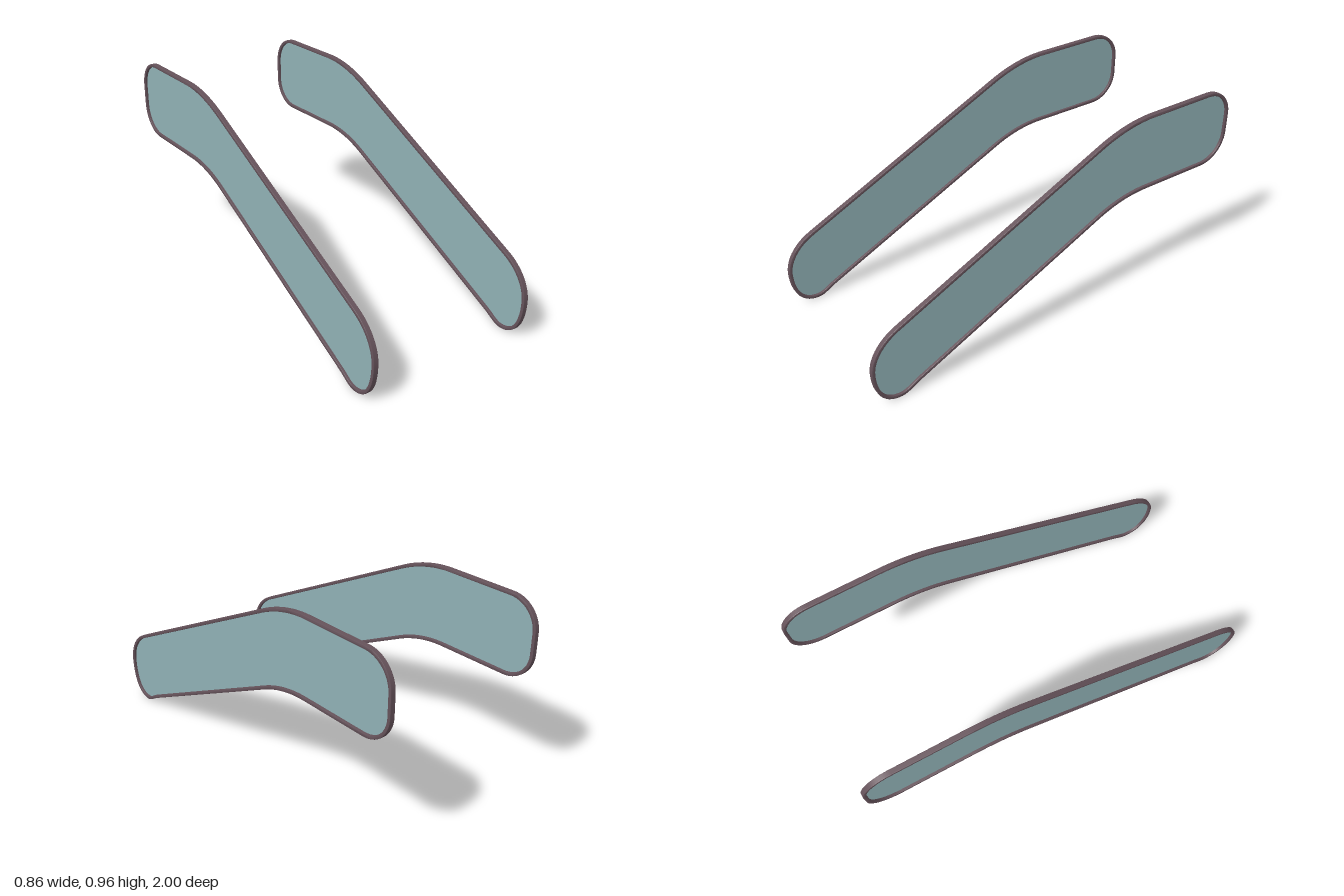
import * as THREE from 'three';
import { toCreasedNormals } from 'three/addons/utils/BufferGeometryUtils.js';

const PANEL_X = 0.415, TRIM_DEPTH = 0.025, TRIM_WIDTH = 0.016, BEVEL = 0.003;

// Side outline, drawn with u = -z and v = y, counter-clockwise
function outlinePoints() {
  const s = new THREE.Shape();
  s.moveTo(-0.765, 0.046);
  s.lineTo(0.2, 0.502);
  s.quadraticCurveTo(0.34, 0.57, 0.49, 0.57);
  s.lineTo(0.85, 0.57);
  s.bezierCurveTo(0.94, 0.57, 1, 0.64, 1, 0.715);
  s.lineTo(1, 0.815);
  s.bezierCurveTo(1, 0.89, 0.94, 0.96, 0.85, 0.96);
  s.lineTo(0.49, 0.96);
  s.quadraticCurveTo(0.34, 0.956, 0.19, 0.884);
  s.lineTo(-0.866, 0.381);
  s.bezierCurveTo(-0.955, 0.338, -1, 0.26, -1, 0.19);
  s.bezierCurveTo(-1, 0.08, -0.96, 0, -0.87, 0);
  s.bezierCurveTo(-0.835, 0, -0.81, 0.025, -0.765, 0.046);
  const pts = s.getPoints(14);
  if (pts[0].distanceTo(pts[pts.length - 1]) < 1e-6) pts.pop();
  return pts;
}

// Moves a closed outline inwards along its normals
function inset(pts, d) {
  const n = pts.length;
  return pts.map((p, i) => {
    const t = pts[(i + 1) % n].clone().sub(pts[(i + n - 1) % n]).normalize();
    return new THREE.Vector2(p.x - t.y * d, p.y + t.x * d);
  });
}

export function createModel() {
  const model = new THREE.Group();
  const outline = outlinePoints();
  const trimMaterial = new THREE.MeshStandardMaterial({ color: 0x65525a });
  const glassMaterial = new THREE.MeshStandardMaterial({ color: 0x8fb0b4, side: THREE.DoubleSide });

  // Trim: a slim rounded rim around the panel
  const rim = new THREE.Shape(inset(outline, BEVEL));
  rim.holes.push(new THREE.Path(inset(outline, TRIM_WIDTH - BEVEL)));
  const depth = TRIM_DEPTH - 2 * BEVEL;
  let trimGeometry = new THREE.ExtrudeGeometry(rim, {
    depth, bevelEnabled: true, bevelSize: BEVEL, bevelThickness: BEVEL, bevelSegments: 2,
  });
  trimGeometry.translate(0, 0, -depth / 2).rotateY(Math.PI / 2);
  trimGeometry = toCreasedNormals(trimGeometry, 0.7);

  // Glass: a thin sheet held in the middle of the rim
  const glassGeometry = new THREE.ShapeGeometry(new THREE.Shape(inset(outline, TRIM_WIDTH / 2)));
  glassGeometry.rotateY(Math.PI / 2);

  for (const [side, sign] of [['left', 1], ['right', -1]]) {
    const panel = new THREE.Group();
    panel.name = side + 'SidePanel';
    const trim = new THREE.Mesh(trimGeometry, trimMaterial);
    trim.name = side + 'Trim';
    const glass = new THREE.Mesh(glassGeometry, glassMaterial);
    glass.name = side + 'Glass';
    panel.add(trim, glass);
    panel.position.x = sign * PANEL_X;
    model.add(panel);
  }
  return model;
}
